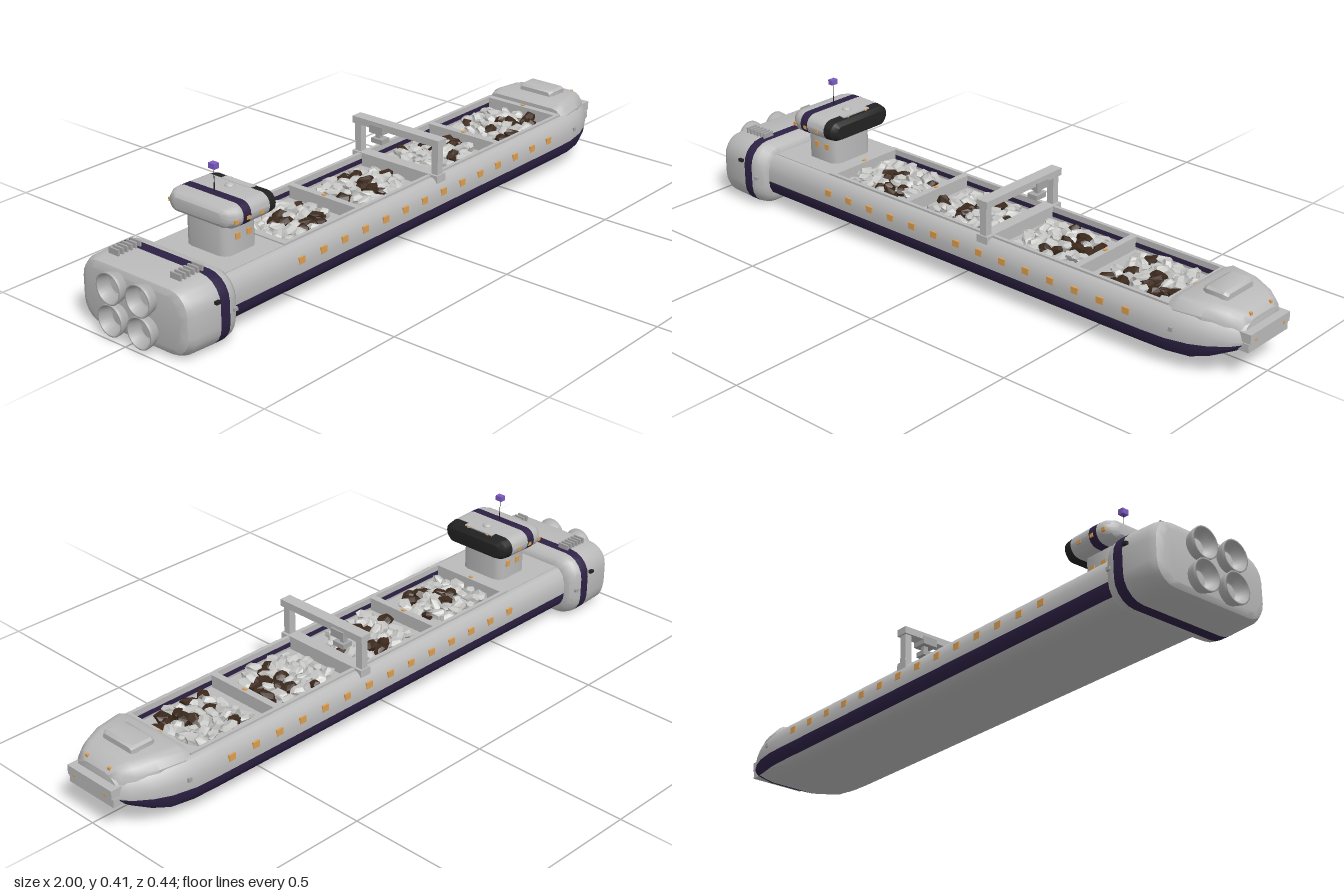
import * as THREE from 'three';
import { toCreasedNormals } from 'three/addons/utils/BufferGeometryUtils.js';

const mat = (name, color, side = THREE.FrontSide) => {
  const m = new THREE.MeshStandardMaterial({ color, side });
  m.name = name;
  return m;
};

// Half profile (z > 0) of a rounded rectangle, from bottom to top
function rounded(w, yb, yt, r, steps = 5) {
  const pts = [];
  for (const [cy, start] of [[yb + r, -Math.PI / 2], [yt - r, 0]]) {
    for (let i = 0; i <= steps; i++) {
      const a = start + (i / steps) * Math.PI / 2;
      pts.push([w - r + r * Math.cos(a), cy + r * Math.sin(a)]);
    }
  }
  return pts;
}

// Skin mirrored half profiles placed along x; pick(segment, section) gives a material index
function loft(sections, pick = () => 0, crease = 0.6) {
  const rings = sections.map(([x, half]) => [
    ...half.map(([z, y]) => [x, y, z]),
    ...half.slice().reverse().map(([z, y]) => [x, y, -z]),
  ]);
  const n = rings[0].length, h = n / 2, last = rings.length - 1;
  const buckets = [];
  const tri = (m, ...v) => (buckets[m] ??= []).push(...v);
  for (let s = 0; s < last; s++) {
    for (let i = 0; i < n; i++) {
      const j = (i + 1) % n;
      const k = i < h ? i : Math.max(0, n - 2 - i);
      const a = s * n + i, b = s * n + j;
      tri(pick(k, s), a, a + n, b, b, a + n, b + n);
    }
  }
  for (const s of [0, last]) {
    const contour = rings[s].map(([, y, z]) => new THREE.Vector2(z, y));
    for (const [a, b, c] of THREE.ShapeUtils.triangulateShape(contour, [])) {
      const o = s * n;
      if (s === 0) tri(pick(h - 1, 0), a, b, c);
      else tri(pick(h - 1, last - 1), o + a, o + c, o + b);
    }
  }
  const geo = new THREE.BufferGeometry();
  geo.setAttribute('position', new THREE.Float32BufferAttribute(rings.flat(2), 3));
  const index = [];
  buckets.forEach((b, m) => {
    geo.addGroup(index.length, b.length, m);
    index.push(...b);
  });
  geo.setIndex(index);
  return toCreasedNormals(geo, crease);
}

export function createModel() {
  const model = new THREE.Group();
  model.name = 'bulkCarrier';
  const hullGrey = mat('hull grey', 0xbababa);
  const trimGrey = mat('trim grey', 0xa6a6a6);
  const purple = mat('dark purple', 0x2d2144);
  const violet = mat('beacon violet', 0x7d5cc4);
  const amber = mat('amber light', 0xdc9f52);
  const black = mat('dark glass', 0x222222);
  const paleRock = mat('pale rock', 0xc4c4c2);
  const brownRock = mat('brown rock', 0x3c291c);
  const bellMat = mat('engine grey', 0xb0b0b0, THREE.DoubleSide);

  const add = (name, geo, material, x = 0, y = 0, z = 0, parent = model) => {
    const m = new THREE.Mesh(geo, material);
    m.name = name;
    m.position.set(x, y, z);
    parent.add(m);
    return m;
  };
  const box = (name, material, x0, x1, y0, y1, z0, z1) =>
    add(name, new THREE.BoxGeometry(x1 - x0, y1 - y0, z1 - z0), material,
      (x0 + x1) / 2, (y0 + y1) / 2, (z0 + z1) / 2);
  const light = (x, y, z, sx, sy, sz) =>
    add('light', new THREE.BoxGeometry(sx, sy, sz), amber, x, y, z);

  // Hull: a trough with a purple bilge band that wraps under the bow
  const hullHalf = (w, yb, yt) => {
    const y2 = Math.max(0.051, yb + 0.012), y3 = 0.092 + (yb - 0.03) * 0.25;
    return [
      [w - 0.065, yb], [w - 0.035, yb + 0.006], [w - 0.012, y2], [w - 0.002, (y2 + y3) / 2], [w, y3],
      [w, Math.max(yt - 0.047, y3 + 0.006)], [w - 0.008, yt - 0.022],
      [w - 0.022, yt - 0.005], [w - 0.03, yt], [w - 0.041, yt], [w - 0.041, 0.138],
    ];
  };
  const hullSections = [
    [-0.8, 0.178, 0.03, 0.172], [0.7, 0.178, 0.03, 0.172], [0.78, 0.176, 0.033, 0.172],
    [0.85, 0.163, 0.04, 0.171], [0.9, 0.144, 0.052, 0.168],
    [0.95, 0.116, 0.072, 0.164], [0.975, 0.092, 0.088, 0.16],
  ].map(([x, ...p]) => [x, hullHalf(...p)]);
  add('hull', loft(hullSections, (k, s) => (k === 2 || k === 3 || (s >= 4 && k < 2) ? 1 : 0)), [hullGrey, purple]);
  box('aftDeck', hullGrey, -0.79, -0.53, 0.135, 0.174, -0.14, 0.14);

  // Raised bow deck with hatch and bumper
  const bowDeck = [
    [0.765, 0.15, 0.13, 0.19], [0.79, 0.15, 0.13, 0.203], [0.87, 0.136, 0.13, 0.203],
    [0.93, 0.112, 0.13, 0.196], [0.96, 0.094, 0.13, 0.185], [0.975, 0.078, 0.13, 0.168],
  ].map(([x, w, b, t]) => [x, [[w, b], [w, t - 0.032], [w - 0.014, t - 0.012], [w - 0.026, t - 0.003], [w - 0.042, t]]]);
  add('bowDeck', loft(bowDeck), hullGrey);
  const hatch = [[0.82, 0.058, 0.216], [0.832, 0.065, 0.222], [0.888, 0.065, 0.222], [0.9, 0.058, 0.216]]
    .map(([x, w, t]) => [x, [[w, 0.19], [w, t - 0.006], [w - 0.008, t]]]);
  add('bowHatch', loft(hatch), hullGrey);
  box('bowBumperUpper', hullGrey, 0.95, 1.0, 0.117, 0.145, -0.092, 0.092);
  box('bowBumperLower', hullGrey, 0.95, 0.995, 0.09, 0.115, -0.092, 0.092);

  // Cargo holds: coamings, cross beams and rock piles
  let seed = 11;
  const rand = () => (seed = (seed * 16807) % 2147483647) / 2147483647;
  const rockGeos = [0, 1, 2].map(() => {
    const g = new THREE.DodecahedronGeometry(1, 0);
    const p = g.attributes.position, a = rand() * 6, b = rand() * 6;
    for (let i = 0; i < p.count; i++) {
      const f = 1 + 0.2 * Math.sin(p.getX(i) * 4 + a) * Math.cos(p.getZ(i) * 3 + b);
      p.setXYZ(i, p.getX(i) * f, p.getY(i) * f, p.getZ(i) * f);
    }
    g.computeVertexNormals();
    return g;
  });
  for (const x of [-0.525, -0.215, 0.44, 0.755]) {
    box('crossBeam', hullGrey, x - 0.011, x + 0.011, 0.137, 0.178, -0.14, 0.14);
    light(x, 0.179, 0, 0.009, 0.004, 0.012);
  }
  box('gantryBase', hullGrey, 0.1, 0.14, 0.137, 0.18, -0.165, 0.165);
  for (const s of [-1, 1]) {
    add('coaming', new THREE.BoxGeometry(1.3, 0.04, 0.012), hullGrey, 0.115, 0.158, s * 0.135);
    add('holdLining', new THREE.BoxGeometry(1.26, 0.014, 0.004), purple, 0.115, 0.153, s * 0.129);
  }
  for (const cx of [-0.38, -0.045, 0.29, 0.615]) {
    const pile = new THREE.Group();
    pile.name = 'rockPile';
    model.add(pile);
    const count = 36;
    for (let i = 0; i < count; i++) {
      const a = i * 2.39996, r = Math.sqrt((i + 0.5) / count);
      const c = Math.cos(a), s = Math.sin(a);
      const square = 1 / Math.pow(c ** 4 + s ** 4, 0.25);
      const rock = add('rock', rockGeos[i % 3], rand() < 0.3 ? brownRock : paleRock,
        cx + c * r * square * 0.12, 0.148 + (1 - r) * 0.012 + rand() * 0.005, s * r * square * 0.103, pile);
      const size = 0.016 + rand() * 0.009;
      rock.scale.set(size * 1.4, size * 0.75, size);
      rock.rotation.set(rand() - 0.5, rand() * 6.28, rand() - 0.5);
    }
  }

  // Gantry crane
  for (const s of [-1, 1]) {
    add('gantryPost', new THREE.BoxGeometry(0.024, 0.11, 0.023), hullGrey, 0.12, 0.222, s * 0.149);
  }
  box('gantryBeam', hullGrey, 0.102, 0.14, 0.269, 0.291, -0.166, 0.166);
  box('craneTrolley', trimGrey, 0.1, 0.146, 0.255, 0.28, -0.098, -0.048);
  box('craneHoist', trimGrey, 0.115, 0.13, 0.237, 0.256, -0.085, -0.07);
  box('craneGrab', trimGrey, 0.105, 0.14, 0.222, 0.237, -0.094, -0.052);

  // Stern engine block with purple stripe
  const sternSections = [
    [-0.968, 0.18, 0.025, 0.182, 0.055], [-0.96, 0.197, 0.012, 0.197, 0.062],
    [-0.94, 0.208, 0.004, 0.205, 0.07], [-0.853, 0.211, 0.002, 0.207, 0.07],
    [-0.82, 0.211, 0.002, 0.207, 0.07], [-0.8, 0.208, 0.005, 0.204, 0.07],
    [-0.782, 0.195, 0.016, 0.192, 0.065], [-0.775, 0.175, 0.03, 0.175, 0.055],
  ].map(([x, ...p]) => [x, rounded(...p)]);
  add('sternBlock', loft(sternSections, (k, s) => (s === 3 ? 1 : 0)), [hullGrey, purple]);

  // Four engine bells
  const bell = new THREE.LatheGeometry([
    [0.026, 0], [0.033, 0.018], [0.041, 0.036], [0.046, 0.055], [0.047, 0.065],
    [0.042, 0.065], [0.033, 0.035], [0.001, 0.028],
  ].map(([r, y]) => new THREE.Vector2(r, y)), 24);
  bell.rotateZ(Math.PI / 2);
  for (const y of [0.06, 0.153]) {
    for (const z of [-0.056, 0.056]) add('engineBell', bell, bellMat, -0.935, y, z);
  }

  // Stern vents, side sensors and bow thrusters
  for (const s of [-1, 1]) {
    for (let i = 0; i < 6; i++) {
      add('ventFin', new THREE.BoxGeometry(0.006, 0.022, 0.038), trimGrey, -0.918 + i * 0.0155, 0.212, s * 0.117);
    }
    add('sideSensor', new THREE.BoxGeometry(0.016, 0.009, 0.01), black, -0.866, 0.15, s * 0.213);
    add('sideFitting', new THREE.BoxGeometry(0.014, 0.01, 0.008), trimGrey, -0.8, 0.105, s * 0.21);
    add('bowThruster', new THREE.BoxGeometry(0.012, 0.012, 0.008), trimGrey, 0.8, 0.125, s * 0.173);
  }

  // Bridge tower
  const towerSections = [[-0.7, 0.052], [-0.694, 0.068], [-0.68, 0.079], [-0.59, 0.079], [-0.576, 0.068], [-0.57, 0.052]]
    .map(([x, w]) => [x, [[w, 0.165], [w, 0.275]]]);
  add('bridgeTower', loft(towerSections, undefined, 0.9), hullGrey);

  // Bridge cabin with stripe and wraparound front window
  const cabinSections = [
    [-0.725, 0.09, 0.283, 0.316, 0.015], [-0.715, 0.112, 0.272, 0.326, 0.025],
    [-0.695, 0.125, 0.267, 0.331, 0.03], [-0.674, 0.126, 0.266, 0.333, 0.032],
    [-0.645, 0.126, 0.266, 0.333, 0.032], [-0.572, 0.125, 0.266, 0.332, 0.032],
    [-0.545, 0.121, 0.268, 0.328, 0.029], [-0.533, 0.103, 0.273, 0.315, 0.02],
  ].map(([x, ...p]) => [x, rounded(...p)]);
  add('bridgeCabin', loft(cabinSections, (k, s) => (s === 3 ? 1 : s >= 5 ? 2 : 0)), [hullGrey, purple, black]);
  box('roofLightBar', hullGrey, -0.575, -0.553, 0.322, 0.333, -0.055, 0.055);
  const dome = add('radarDome', new THREE.SphereGeometry(0.015, 16, 8, 0, Math.PI * 2, 0, Math.PI / 2), hullGrey, -0.597, 0.332, 0);
  dome.scale.y = 0.6;
  add('mastBase', new THREE.CylinderGeometry(0.0015, 0.002, 0.03, 8), black, -0.655, 0.345, 0);
  add('mast', new THREE.CylinderGeometry(0.0008, 0.0008, 0.07, 6), black, -0.655, 0.367, 0);
  add('beacon', new THREE.BoxGeometry(0.018, 0.016, 0.023), violet, -0.655, 0.409, 0);

  // Amber windows and running lights
  for (const s of [-1, 1]) {
    for (let i = 0; i < 14; i++) light(-0.505 + i * 0.089, 0.13, s * 0.1765, 0.024, 0.02, 0.006);
    for (const x of [-0.652, -0.608]) light(x, 0.225, s * 0.079, 0.018, 0.018, 0.006);
    for (const x of [-0.7, -0.655, -0.605]) light(x, 0.293, s * 0.124, 0.013, 0.011, 0.006);
    light(-0.552, 0.328, s * 0.038, 0.006, 0.007, 0.008);
    light(0.965, 0.18, s * 0.046, 0.008, 0.008, 0.009);
    light(0.999, 0.122, s * 0.065, 0.004, 0.008, 0.009);
  }
  return model;
}
